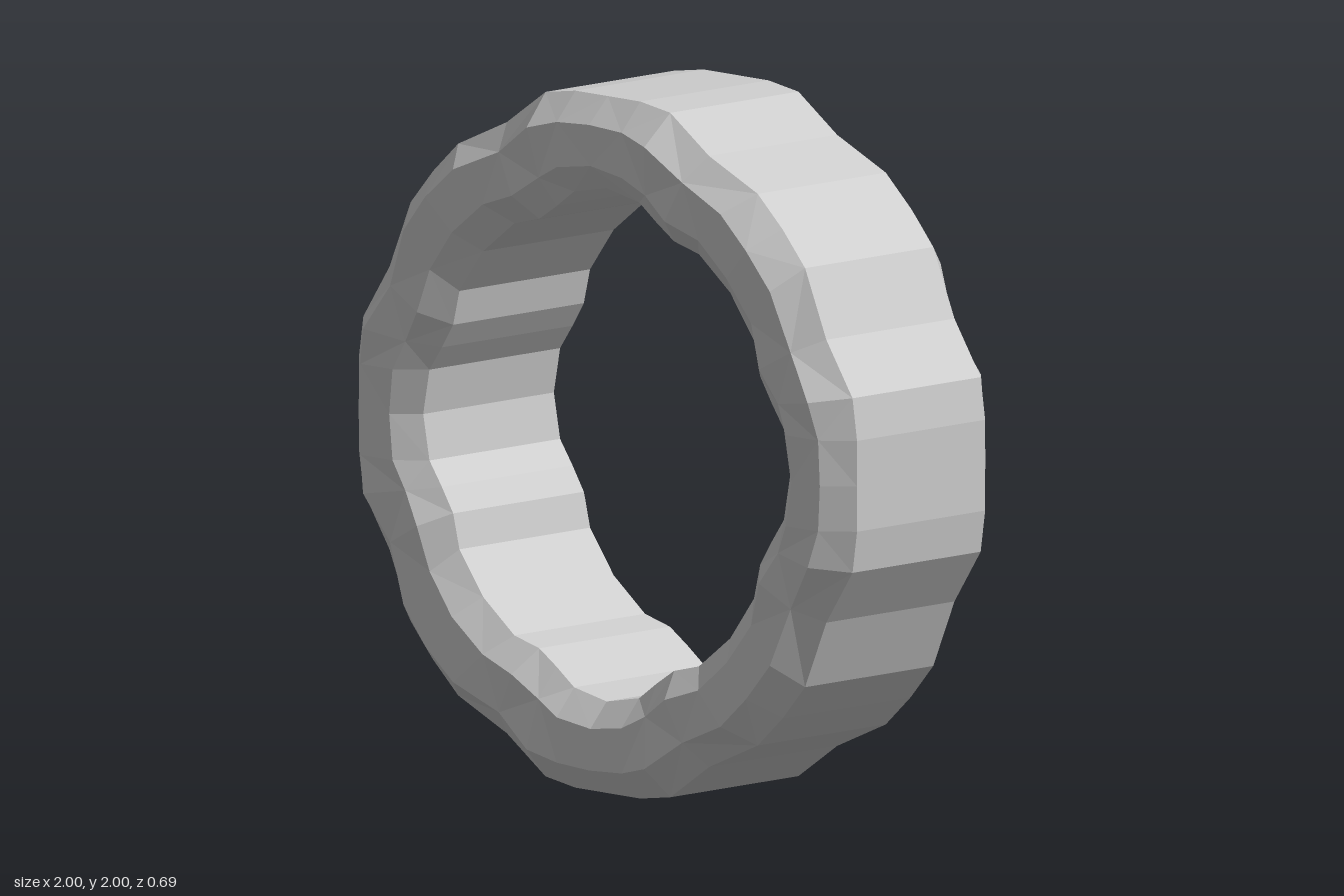
import * as THREE from 'three';

// One eighth of the ring: outer and inner outline points (x, y from the centre),
// and half depth at the outer and inner rim of the side face.
const EIGHTH = [
  { out: [0, 0.998], inn: [0, 0.735], dOut: 0.33, dIn: 0.325 },
  { out: [0.13, 0.998], inn: [0.13, 0.71], dOut: 0.33, dIn: 0.33 },
  { out: [0.25, 0.98], inn: [0.2, 0.66], dOut: 0.345, dIn: 0.32 },
  { out: [0.405, 0.875], inn: [0.27, 0.615], dOut: 0.325, dIn: 0.335 },
  { out: [0.6, 0.79], inn: [0.37, 0.59], dOut: 0.34, dIn: 0.325 },
  { out: [0.7, 0.7], inn: [0.495, 0.495], dOut: 0.345, dIn: 0.33 },
];
const PER_QUARTER = 10;
const STATIONS = 4 * PER_QUARTER;

// Cross-section at station k, mirrored over the diagonal and turned by quarters.
function section(k) {
  const m = k % PER_QUARTER;
  const mirrored = m > 5;
  const s = EIGHTH[mirrored ? PER_QUARTER - m : m];
  const place = ([px, py]) => {
    let [x, y] = mirrored ? [py, px] : [px, py];
    for (let q = 0; q < Math.floor(k / PER_QUARTER); q++) [x, y] = [y, -x];
    return new THREE.Vector2(x, y);
  };
  const out = place(s.out);
  const inn = place(s.inn);
  // [blend from outer to inner, z] from the outer band round to the front face
  const loop = [
    [0, 0.255], [0, 0.13], [0, 0], [0, -0.13], [0, -0.255],
    [0.28, -s.dOut], [0.73, -s.dIn],
    [1, -0.26], [1, -0.13], [1, 0], [1, 0.13], [1, 0.26],
    [0.73, s.dIn], [0.28, s.dOut],
  ];
  return loop.map(([t, z]) => {
    const p = out.clone().lerp(inn, t);
    return [p.x, p.y + 1, z];
  });
}

export function createModel() {
  const rings = Array.from({ length: STATIONS }, (_, k) => section(k));
  const n = rings[0].length;
  const positions = rings.flat(2);
  const index = [];
  for (let k = 0; k < STATIONS; k++) {
    for (let i = 0; i < n; i++) {
      const k1 = (k + 1) % STATIONS;
      const i1 = (i + 1) % n;
      const a = k * n + i, b = k1 * n + i, c = k1 * n + i1, d = k * n + i1;
      // alternate the diagonals for the hammered look
      if ((k + i) % 2) index.push(a, b, d, b, c, d);
      else index.push(a, b, c, a, c, d);
    }
  }
  const geometry = new THREE.BufferGeometry();
  geometry.setAttribute('position', new THREE.Float32BufferAttribute(positions, 3));
  geometry.setIndex(index);
  geometry.computeVertexNormals();

  const band = new THREE.Mesh(
    geometry,
    new THREE.MeshStandardMaterial({ color: 0xcccccc, flatShading: true })
  );
  band.name = 'ringBand';
  const group = new THREE.Group();
  group.name = 'hammeredRing';
  group.add(band);
  return group;
}
